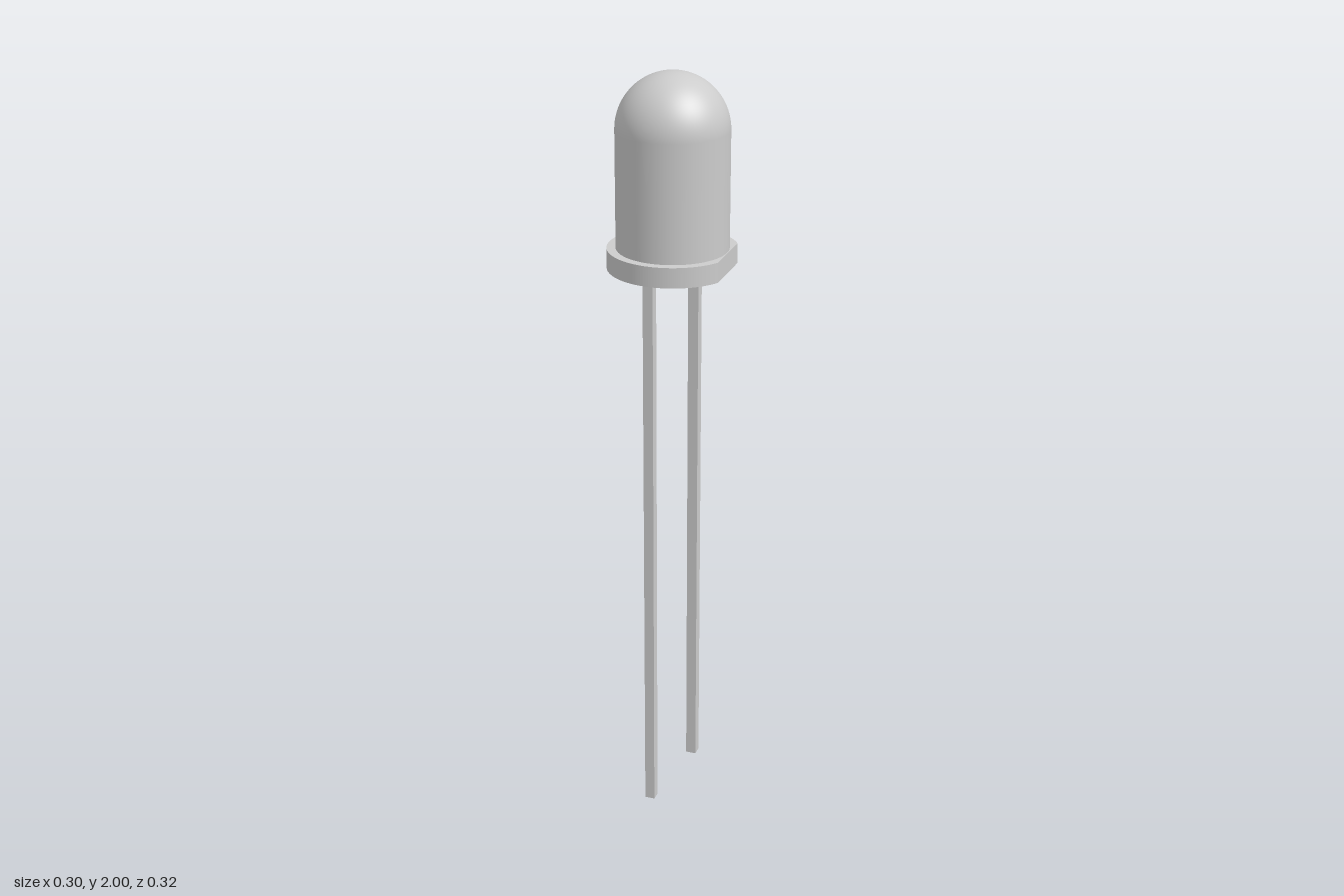
import * as THREE from 'three';

const CENTRE_X = 0.01;
const FLANGE_BOTTOM = 1.525;
const FLANGE_TOP = 1.575;

export function createModel() {
  const group = new THREE.Group();
  const material = new THREE.MeshStandardMaterial({ color: 0xcccccc });

  function add(name, geometry, x, y) {
    const mesh = new THREE.Mesh(geometry, material);
    mesh.name = name;
    mesh.position.set(x, y, 0);
    group.add(mesh);
  }

  // Lens: straight cylinder ending in a hemisphere
  const radius = 0.137;
  const domeY = 2 - radius;
  const profile = [new THREE.Vector2(radius, FLANGE_TOP - 0.01)];
  const steps = 24;
  for (let i = 0; i <= steps; i++) {
    const a = (i / steps) * Math.PI / 2;
    profile.push(new THREE.Vector2(i === steps ? 0 : radius * Math.cos(a), domeY + radius * Math.sin(a)));
  }
  add('lens', new THREE.LatheGeometry(profile, 96), CENTRE_X, 0);

  // Flange: disc with one side cut flat towards +x
  const flangeRadius = 0.159;
  const flatAngle = Math.acos(0.139 / flangeRadius);
  const outline = new THREE.Shape();
  outline.absarc(0, 0, flangeRadius, flatAngle, Math.PI * 2 - flatAngle, false);
  outline.closePath();
  const flange = new THREE.ExtrudeGeometry(outline, {
    depth: FLANGE_TOP - FLANGE_BOTTOM, bevelEnabled: false, curveSegments: 96,
  });
  flange.rotateX(-Math.PI / 2);
  add('flange', flange, CENTRE_X, FLANGE_BOTTOM);

  // Leads: thin square wires, one longer than the other
  const leads = [['longLead', -0.05, 0], ['shortLead', 0.067, 0.17]];
  for (const [name, x, bottom] of leads) {
    const length = FLANGE_BOTTOM + 0.01 - bottom;
    add(name, new THREE.BoxGeometry(0.026, length, 0.026), x, bottom + length / 2);
  }

  return group;
}
